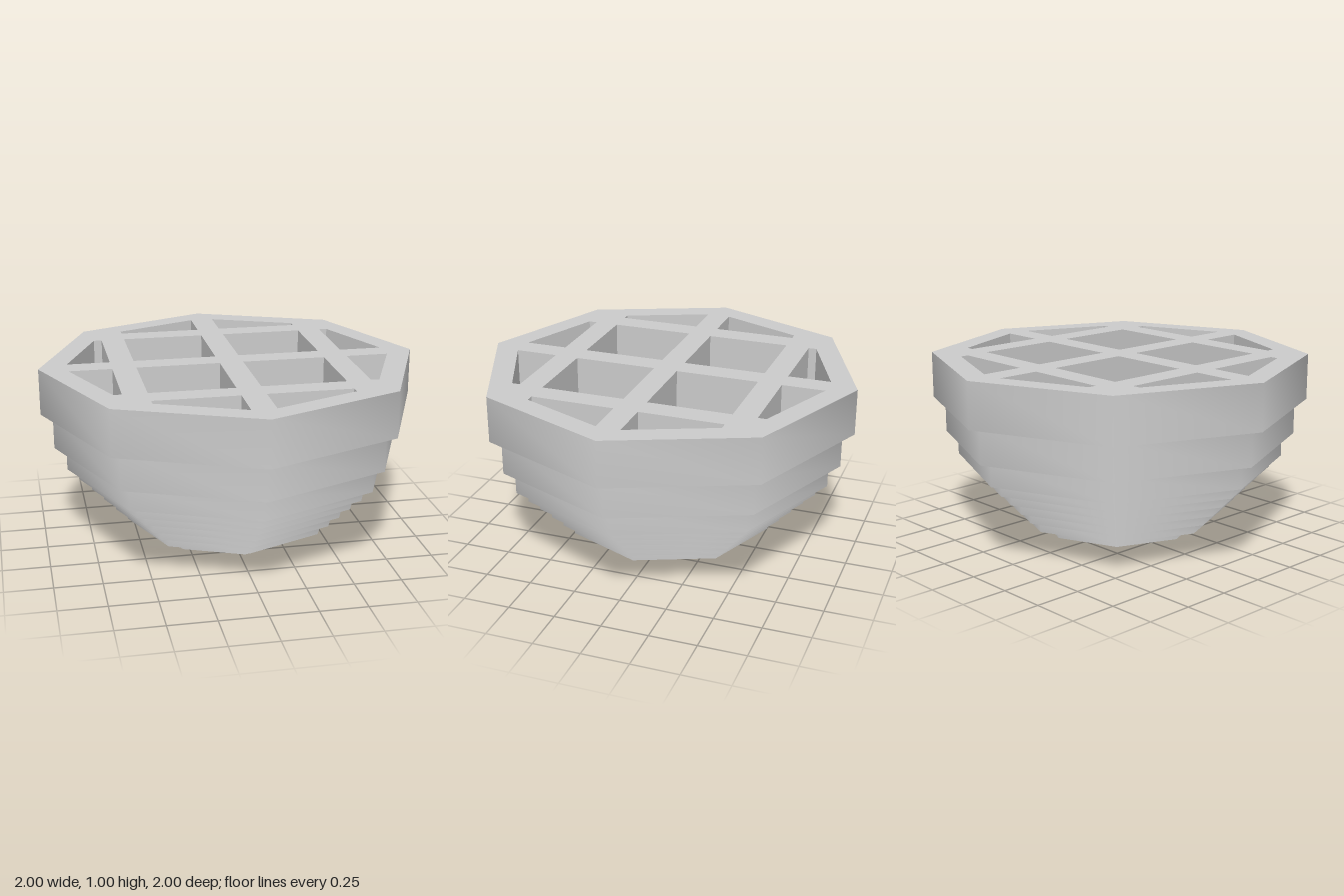
import * as THREE from 'three';
import { toCreasedNormals } from 'three/addons/utils/BufferGeometryUtils.js';

// Octagon with its corners on the axes
const octagon = (r) => Array.from({ length: 8 }, (_, i) =>
  new THREE.Vector2(r * Math.cos(i * Math.PI / 4), r * Math.sin(i * Math.PI / 4)));

// Clip a convex polygon against an octagon of radius r
function clipToOctagon(points, r) {
  const apothem = r * Math.cos(Math.PI / 8);
  for (let i = 0; i < 8; i++) {
    const a = (i + 0.5) * Math.PI / 4;
    const normal = new THREE.Vector2(Math.cos(a), Math.sin(a));
    const result = [];
    points.forEach((p, k) => {
      const q = points[(k + 1) % points.length];
      const dp = p.dot(normal) - apothem;
      const dq = q.dot(normal) - apothem;
      if (dp <= 0) result.push(p);
      if (dp * dq < 0) result.push(p.clone().lerp(q, dp / (dp - dq)));
    });
    points = result;
  }
  return points;
}

// Open cells between the crossing ribs
const spans = [[-1, -0.625], [-0.5, -0.0625], [0.0625, 0.5], [0.625, 1]];
const cells = [];
for (const [x0, x1] of spans) {
  for (const [z0, z1] of spans) {
    cells.push([[x0, z0], [x1, z0], [x1, z1], [x0, z1]]);
  }
}

// One octagonal step, pierced by the cells that fit inside its cavity
function tierGeometry(outer, inner, height) {
  const shape = new THREE.Shape(octagon(outer));
  if (inner > 0) {
    for (const cell of cells) {
      const hole = clipToOctagon(cell.map(([x, z]) => new THREE.Vector2(x, z)), inner);
      if (hole.length > 2) shape.holes.push(new THREE.Path(hole));
    }
  }
  const geometry = new THREE.ExtrudeGeometry(shape, { depth: height, bevelEnabled: false });
  geometry.rotateX(-Math.PI / 2);
  return toCreasedNormals(geometry, THREE.MathUtils.degToRad(50));
}

export function createModel() {
  const group = new THREE.Group();
  group.name = 'steppedBowl';
  const material = new THREE.MeshStandardMaterial({ color: 0xcccccc });

  // Steps from the foot to the rim
  const radii = [0.25, 0.4375, 0.5625, 0.625, 0.6875, 0.75, 0.8125, 0.875, 0.9375, 1];
  const levels = [0, 0.066, 0.13, 0.191, 0.254, 0.317, 0.378, 0.441, 0.566, 0.756, 1];
  radii.forEach((radius, i) => {
    // The cavity is set in from the step below; the foot is solid
    const inner = i > 0 ? radii[i - 1] - 0.0625 : 0;
    const tier = new THREE.Mesh(tierGeometry(radius, inner, levels[i + 1] - levels[i]), material);
    tier.position.y = levels[i];
    tier.name = i === 0 ? 'foot' : i === radii.length - 1 ? 'rimWithGrid' : `step${i}`;
    group.add(tier);
  });
  return group;
}
